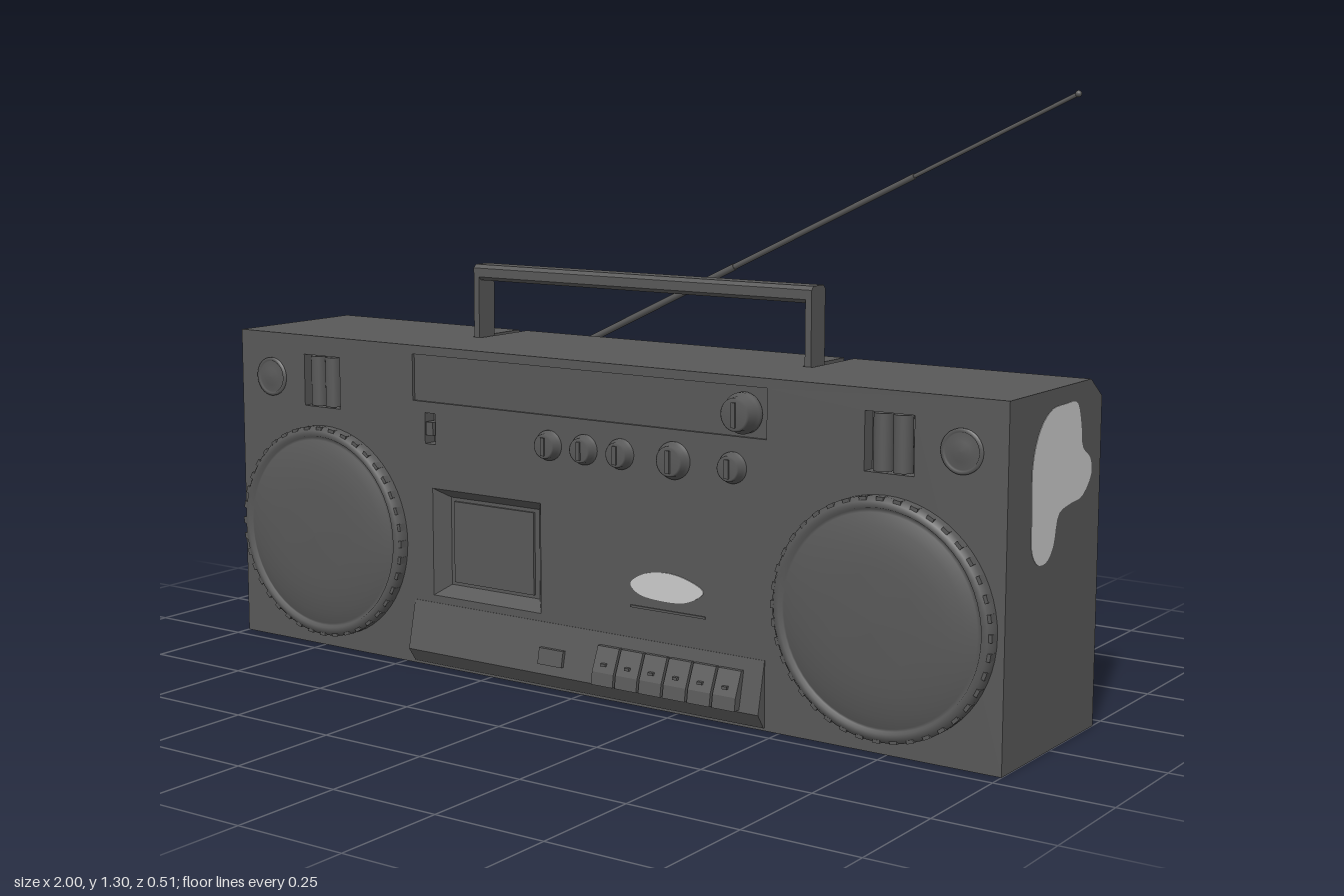
import * as THREE from 'three';

const casing = new THREE.MeshStandardMaterial({ color: 0x585858 });
casing.name = 'dark grey casing';
const casingOpen = new THREE.MeshStandardMaterial({ color: 0x585858, side: THREE.DoubleSide });
casingOpen.name = 'dark grey casing, open surface';
const pale = new THREE.MeshStandardMaterial({ color: 0xcacaca });
pale.name = 'pale grey patch';

export function createModel() {
  const root = new THREE.Group();
  root.name = 'portableStereo';

  const add = (name, geo, x = 0, y = 0, z = 0, mat = casing) => {
    const m = new THREE.Mesh(geo, mat);
    m.name = name;
    m.position.set(x, y, z);
    root.add(m);
    return m;
  };
  const box = (name, x0, x1, y0, y1, z0, z1) => add(name,
    new THREE.BoxGeometry(x1 - x0, y1 - y0, z1 - z0), (x0 + x1) / 2, (y0 + y1) / 2, (z0 + z1) / 2);
  const outline = (pts) => new THREE.Shape(pts.map(([a, b]) => new THREE.Vector2(a, b)));
  const rect = ([x0, x1, y0, y1]) => [[x0, y0], [x1, y0], [x1, y1], [x0, y1]];
  const extrude = (shape, depth) => new THREE.ExtrudeGeometry(shape, { depth, bevelEnabled: false });
  // side profile of [z, y] points swept from x0 to x1
  const sweep = (name, pts, x0, x1) =>
    add(name, extrude(outline(pts.map(([z, y]) => [-z, y])), x1 - x0).rotateY(Math.PI / 2), x0);
  // flat plate facing z with rectangular openings
  const plate = (name, area, holes, z0, z1) => {
    const s = outline(rect(area));
    holes.forEach((h) => s.holes.push(outline(rect(h))));
    return add(name, extrude(s, z1 - z0), 0, 0, z0);
  };
  // turned part: [radius, height] profile pointing out of the front (dir 1) or back (dir -1)
  const turned = (name, pts, x, y, z, dir = 1, seg = 32) => add(name,
    new THREE.LatheGeometry(pts.map(([r, h]) => new THREE.Vector2(r, h)), seg).rotateX(dir * Math.PI / 2), x, y, z, casingOpen);
  const rod = (name, a, b, r0, r1) => {
    const d = b.clone().sub(a);
    const m = add(name, new THREE.CylinderGeometry(r1, r0, d.length(), 12), ...a.clone().add(b).multiplyScalar(0.5).toArray());
    m.quaternion.setFromUnitVectors(new THREE.Vector3(0, 1, 0), d.normalize());
  };

  // Case core, with a channel at the rear top that the handle folds into
  const low = [[-0.21, 0.62], [-0.19, 0.62], [-0.19, 0], [0.18, 0], [0.18, 0.73]];
  const endProfile = [...low, [-0.155, 0.73], [-0.21, 0.69]];
  const midProfile = [...low, [-0.155, 0.73], [-0.16, 0.66], [-0.21, 0.63]];
  const slotProfile = [...low, [0.018, 0.73], [0.018, 0.66], [-0.16, 0.66], [-0.21, 0.63]];
  sweep('caseRightEnd', endProfile, -1, -0.455);
  sweep('caseLeftEnd', endProfile, 0.455, 1);
  sweep('caseMiddle', midProfile, -0.43, 0.43);
  sweep('handleSlotRight', slotProfile, -0.455, -0.43);
  sweep('handleSlotLeft', slotProfile, 0.43, 0.455);

  // Front panel with openings
  const deck = [-0.415, -0.11, 0.165, 0.41];
  const meters = [[-0.8, -0.69, 0.565, 0.685], [0.69, 0.8, 0.565, 0.685]];
  plate('frontPanel', [-1, 1, 0, 0.73], [
    deck, ...meters, [-0.47, 0.465, 0.605, 0.71], [-0.435, -0.405, 0.51, 0.58],
  ], 0.18, 0.212);
  box('tunerWindow', -0.47, 0.465, 0.605, 0.71, 0.18, 0.205);
  box('slideSwitch', -0.43, -0.41, 0.53, 0.56, 0.18, 0.215);

  // Cassette door: sloping surround and window
  const surround = new THREE.CylinderGeometry(Math.SQRT1_2, Math.SQRT1_2 * 0.82, 1, 4, 1, true)
    .toNonIndexed().rotateY(Math.PI / 4).rotateX(Math.PI / 2);
  surround.computeVertexNormals();
  add('cassetteSurround', surround, -0.2625, 0.2875, 0.196, casingOpen).scale.set(0.305, 0.245, 0.032);
  box('cassetteWindow', -0.375, -0.15, 0.195, 0.38, 0.178, 0.186);

  // Level controls: two upright rollers in each opening
  meters.forEach(([x0, x1]) => {
    for (const s of [-1, 1]) {
      add('levelRoller', new THREE.CylinderGeometry(0.02, 0.02, 0.115, 20), (x0 + x1) / 2 + s * 0.022, 0.625, 0.195);
    }
  });

  // Speakers and tweeters
  for (const s of [-1, 1]) {
    turned('speaker', [[0.247, 0], [0.247, 0.016], [0.238, 0.026], [0.226, 0.028], [0.222, 0.02],
      [0.216, 0.023], [0.19, 0.031], [0.15, 0.038], [0.1, 0.042], [0, 0.044]], s * 0.738, 0.275, 0.211, 1, 64);
    for (let i = 0; i < 40; i++) {
      const a = i * Math.PI / 20;
      const rib = add('speakerRimRib', new THREE.BoxGeometry(0.016, 0.016, 0.018),
        s * 0.738 + Math.cos(a) * 0.239, 0.275 + Math.sin(a) * 0.239, 0.226);
      rib.rotation.z = a;
    }
    turned('tweeter', [[0.045, 0], [0.045, 0.005], [0.038, 0.006], [0.036, 0.002], [0.02, 0.007], [0, 0.008]],
      s * 0.903, 0.625, 0.211);
  }

  // Knobs with a collar and a pointer bar
  const knob = (name, x, y, r, h) => {
    turned(name, [[r, 0], [r, h * 0.3], [r * 0.84, h * 0.35], [r * 0.8, h * 0.9], [r * 0.7, h], [0, h]], x, y, 0.208);
    box(name + 'Pointer', x - 0.005, x + 0.005, y - r * 0.6, y + r * 0.6, 0.208 + h, 0.212 + h);
  };
  knob('tuningKnob', 0.41, 0.655, 0.043, 0.042);
  [[-0.085, 0.033], [0.01, 0.033], [0.105, 0.033], [0.24, 0.04], [0.385, 0.033]]
    .forEach(([x, r]) => knob('toneKnob', x, 0.54, r, 0.027));

  // Sloping key panel with keys and tape counter
  sweep('keyPanel', [[0.205, 0.148], [0.205, 0.006], [0.215, 0.006], [0.237, 0.038], [0.213, 0.148]], -0.47, 0.465);
  for (let i = 0; i < 6; i++) {
    const x = 0.055 + i * 0.0615;
    sweep('deckKey', [[0.21, 0.122], [0.21, 0.042], [0.254, 0.042], [0.25, 0.07], [0.228, 0.122]], x, x + 0.056);
    box('deckKeyRidge', x + 0.022, x + 0.034, 0.084, 0.09, 0.23, 0.25);
  }
  sweep('tapeCounter', [[0.21, 0.095], [0.21, 0.06], [0.24, 0.06], [0.233, 0.095]], -0.1, -0.035);

  // Carrying handle
  for (const s of [-1, 1]) {
    add('handleLeg', new THREE.BoxGeometry(0.015, 0.22, 0.056), s * 0.4425, 0.775, -0.012);
  }
  sweep('handleBar', [[-0.04, 0.868], [0.008, 0.862], [0.016, 0.87], [0.016, 0.89], [0.008, 0.898],
    [-0.032, 0.898], [-0.04, 0.89]], -0.45, 0.45);

  // Back panel with openings
  plate('backPanel', [-1, 1, 0, 0.62], [
    [0.74, 0.937, 0.04, 0.2], [0.524, 0.7, 0.157, 0.368], [-0.695, -0.568, 0.39, 0.5], [-0.657, -0.29, 0.027, 0.092],
  ], -0.21, -0.19);
  box('batteryLid', 0.75, 0.927, 0.05, 0.19, -0.2, -0.185);
  box('voltagePlate', 0.535, 0.69, 0.168, 0.357, -0.2, -0.185);
  box('socketPlate', -0.685, -0.578, 0.4, 0.49, -0.2, -0.185);
  for (const y of [0.3, 0.342]) turned('smallSocket', [[0.014, 0], [0.014, 0.012], [0.008, 0.012], [0.008, 0]], 0.663, y, -0.198, -1, 16);
  for (const x of [-0.365, -0.44, -0.52, -0.606]) {
    turned('audioJack', [[0.022, 0], [0.022, 0.012], [0.014, 0.014], [0.014, 0.034], [0.007, 0.034], [0.007, 0.01], [0, 0.01]],
      x, 0.06, -0.19, -1, 20);
  }
  for (const x of [0.34, 0.035]) {
    turned('slottedDial', [[0.034, 0], [0.034, 0.004], [0.028, 0.006], [0, 0.006]], x, 0.412, -0.209, -1, 24);
    box('dialBar', x - 0.026, x + 0.026, 0.407, 0.417, -0.219, -0.21);
  }
  for (const s of [-1, 1]) {
    [[0.927, 0.565], [0.517, 0.59], [0.96, 0.177], [0.517, 0.135]].forEach(([x, y]) =>
      turned('caseScrew', [[0.018, 0], [0.018, 0.003], [0.012, 0.003], [0.01, 0.001], [0, 0.001]], s * x, y, -0.21, -1, 16));
  }

  // Tapered bulge on the back
  const bulge = new THREE.BoxGeometry(0.245, 0.24, 0.05);
  const p = bulge.attributes.position;
  for (let i = 0; i < p.count; i++) {
    if (p.getZ(i) < 0) p.setXY(i, p.getX(i) * 0.64, p.getY(i) * 0.7);
  }
  bulge.computeVertexNormals();
  add('backBulge', bulge, -0.273, 0.298, -0.232);

  // Telescopic aerial and its hinge
  const base = new THREE.Vector3(-0.43, 0.645, -0.214);
  const tip = new THREE.Vector3(0.93, 1.295, -0.212);
  const at = (t) => base.clone().lerp(tip, t);
  [[0, 0.4, 0.008], [0.4, 0.73, 0.0065], [0.73, 1, 0.0045]].forEach(([a, b, r]) => rod('aerialSection', at(a), at(b), r, r));
  add('aerialTip', new THREE.SphereGeometry(0.007, 12, 8), ...tip.toArray());
  rod('aerialHingeRod', new THREE.Vector3(-0.43, 0.45, -0.214), base, 0.01, 0.01);
  [[0.59, 0.04], [0.458, 0.032]].forEach(([y, h]) =>
    add('aerialHingeKnuckle', new THREE.CylinderGeometry(0.017, 0.017, h, 16), -0.43, y, -0.214));
  add('aerialPivot', new THREE.SphereGeometry(0.015, 16, 10), ...base.toArray());

  // Pale patches on the left side and the front
  const patch = (name, pts) => {
    const curve = new THREE.CatmullRomCurve3(pts.map(([a, b]) => new THREE.Vector3(a, b, 0)), true);
    const shape = new THREE.Shape(curve.getPoints(60).map((v) => new THREE.Vector2(v.x, v.y)));
    return add(name, extrude(shape, 0.003), 0, 0, 0, pale);
  };
  const side = patch('sidePatch', [[-0.107, 0.49], [-0.103, 0.42], [-0.076, 0.391], [-0.034, 0.391], [-0.007, 0.417],
    [0.014, 0.476], [0.066, 0.49], [0.124, 0.497], [0.166, 0.538], [0.159, 0.569], [0.121, 0.597], [0.11, 0.648],
    [0.09, 0.69], [0.031, 0.694], [-0.028, 0.69], [-0.076, 0.659], [-0.107, 0.597]]);
  side.rotation.y = Math.PI / 2;
  side.position.x = 0.998;
  patch('frontPatch', [[0.13, 0.265], [0.168, 0.291], [0.249, 0.297], [0.315, 0.27], [0.275, 0.243], [0.195, 0.238], [0.147, 0.247]])
    .position.z = 0.211;
  box('frontTrimLine', 0.13, 0.32, 0.214, 0.219, 0.21, 0.215);

  return root;
}
